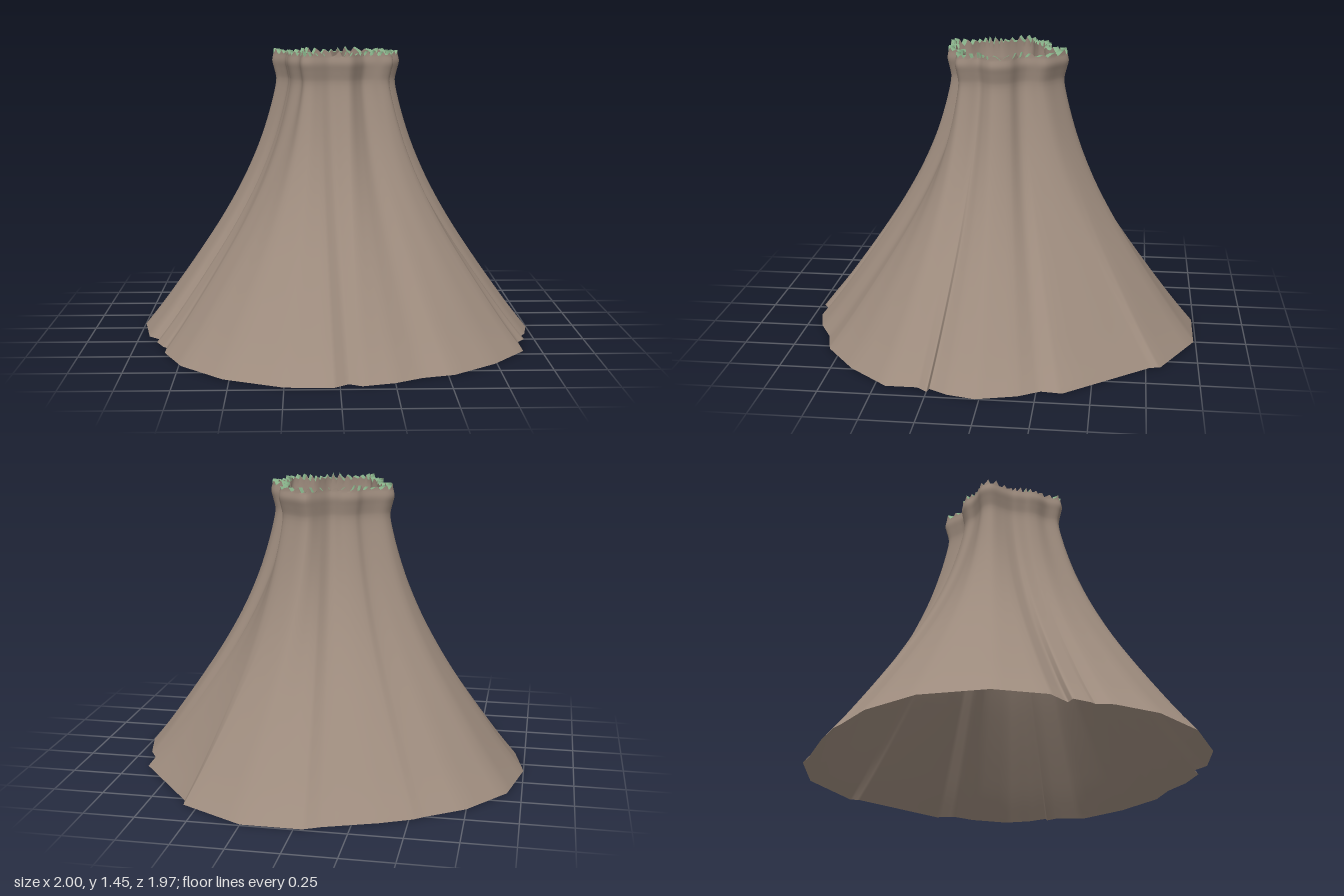
import * as THREE from 'three';

// Outline stations running around the skirt: [neck x, neck z, hem x, hem z].
// Neck valleys are paired with the hem creases they run down into.
const STATIONS = [
  [0.315, 0.02, 1.0, 0.02], [0.29, 0.06, 0.97, 0.15], [0.265, 0.085, 0.92, 0.24],
  [0.26, 0.1, 0.95, 0.25], [0.275, 0.15, 0.91, 0.3], [0.27, 0.19, 0.91, 0.45],
  [0.23, 0.205, 0.74, 0.65], [0.18, 0.19, 0.53, 0.81], [0.14, 0.19, 0.38, 0.85],
  [0.11, 0.22, 0.25, 0.92], [0.07, 0.265, 0.1, 0.96], [0.03, 0.265, 0.06, 0.94],
  [-0.03, 0.25, 0.04, 0.93], [-0.08, 0.27, -0.03, 0.98], [-0.13, 0.285, -0.25, 0.97],
  [-0.165, 0.27, -0.53, 0.85], [-0.18, 0.21, -0.74, 0.65], [-0.22, 0.16, -0.84, 0.44],
  [-0.235, 0.12, -0.84, 0.36], [-0.235, 0.09, -0.86, 0.34], [-0.245, 0.05, -0.9, 0.26],
  [-0.25, 0.02, -0.86, 0.24], [-0.28, -0.03, -0.95, 0.16], [-0.315, -0.09, -1.0, -0.09],
  [-0.29, -0.135, -0.93, -0.4], [-0.23, -0.155, -0.75, -0.63], [-0.18, -0.18, -0.57, -0.75],
  [-0.15, -0.215, -0.52, -0.79], [-0.09, -0.235, -0.37, -0.86], [-0.03, -0.225, -0.12, -0.95],
  [0.02, -0.275, -0.04, -0.99], [0.075, -0.325, 0.25, -0.99], [0.15, -0.285, 0.57, -0.82],
  [0.225, -0.22, 0.58, -0.77], [0.215, -0.14, 0.9, -0.37], [0.235, -0.1, 0.89, -0.27],
  [0.29, -0.06, 0.95, -0.17],
];
const SUB = 4;
const COLS = STATIONS.length * SUB;

// Side profile: [height, neck scale, spread towards the hem]
const PROFILE = [
  [0, 0.95, 1], [0.1, 0.95, 0.886], [0.2, 0.95, 0.78], [0.4, 0.95, 0.579],
  [0.6, 0.95, 0.393], [0.8, 0.95, 0.236], [1.0, 0.95, 0.114], [1.2, 0.95, 0.028],
  [1.3, 0.955, 0], [1.35, 0.99, 0], [1.39, 1.02, 0], [1.425, 1, 0],
];

// Neck outline is a smooth wave, hem outline has straight edges
const neck = new THREE.CatmullRomCurve3(
  STATIONS.map(([x, z]) => new THREE.Vector3(x, 0, z)), true, 'centripetal');

function outlineAt(i) {
  const k = Math.floor(i / SUB), f = (i % SUB) / SUB;
  const a = STATIONS[k], b = STATIONS[(k + 1) % STATIONS.length];
  const hem = new THREE.Vector3(a[2], 0, a[3]).lerp(new THREE.Vector3(b[2], 0, b[3]), f);
  return { neck: neck.getPoint(i / COLS), hem };
}
const outline = Array.from({ length: COLS }, (_, i) => outlineAt(i));

// One closed ring of points
function ring(y, scale, spread, shrink = 1) {
  return outline.map((o) => {
    const p = o.neck.clone().multiplyScalar(scale).lerp(o.hem, spread).multiplyScalar(shrink);
    p.y = y;
    return p;
  });
}

// Skin a list of closed rings
function skin(rings) {
  const positions = [], index = [];
  for (const r of rings) for (const p of r) positions.push(p.x, p.y, p.z);
  for (let j = 0; j < rings.length - 1; j++) {
    for (let i = 0; i < COLS; i++) {
      const n = (i + 1) % COLS;
      const a = j * COLS + i, b = j * COLS + n, c = a + COLS, d = b + COLS;
      index.push(a, c, b, b, c, d);
    }
  }
  const g = new THREE.BufferGeometry();
  g.setAttribute('position', new THREE.Float32BufferAttribute(positions, 3));
  g.setIndex(index);
  g.computeVertexNormals();
  return g;
}

export function createModel() {
  const brown = new THREE.MeshStandardMaterial({ color: 0x9e8c7e, side: THREE.DoubleSide });
  brown.name = 'warm brown';
  const green = new THREE.MeshStandardMaterial({ color: 0x86b088, side: THREE.DoubleSide });
  green.name = 'soft green';

  const group = new THREE.Group();
  group.name = 'pleatedCone';
  const add = (name, geometry, material) => {
    const mesh = new THREE.Mesh(geometry, material);
    mesh.name = name;
    group.add(mesh);
  };

  // Ragged top edge: small uneven teeth
  const ragged = ring(1.43, 1, 0);
  ragged.forEach((p, i) => {
    p.y += [0.016, 0.002, -0.008][i % 3] + 0.006 * Math.sin(i * 1.7);
  });

  // Flaring outer wall, open at the bottom
  const profile = new THREE.CatmullRomCurve3(
    PROFILE.map((p) => new THREE.Vector3(...p)), false, 'centripetal');
  const walls = profile.getPoints(44).map((p) => ring(p.x, p.y, Math.max(0, p.z)));
  add('outerWall', skin([...walls, ragged]), brown);

  // Cut rim around the opening
  const inner = ragged.map((p) => new THREE.Vector3(p.x * 0.9, p.y - 0.004, p.z * 0.9));
  add('rim', skin([ragged, inner]), green);

  // Lining of the neck, thinning out downwards
  add('neckLining', skin([
    inner, ring(1.39, 1.02, 0, 0.9), ring(1.35, 0.99, 0, 0.91), ring(1.3, 0.955, 0, 0.93),
    ring(1.2, 0.95, 0.028, 0.96), ring(1.1, 0.95, 0.066, 0.985),
  ]), brown);

  return group;
}
